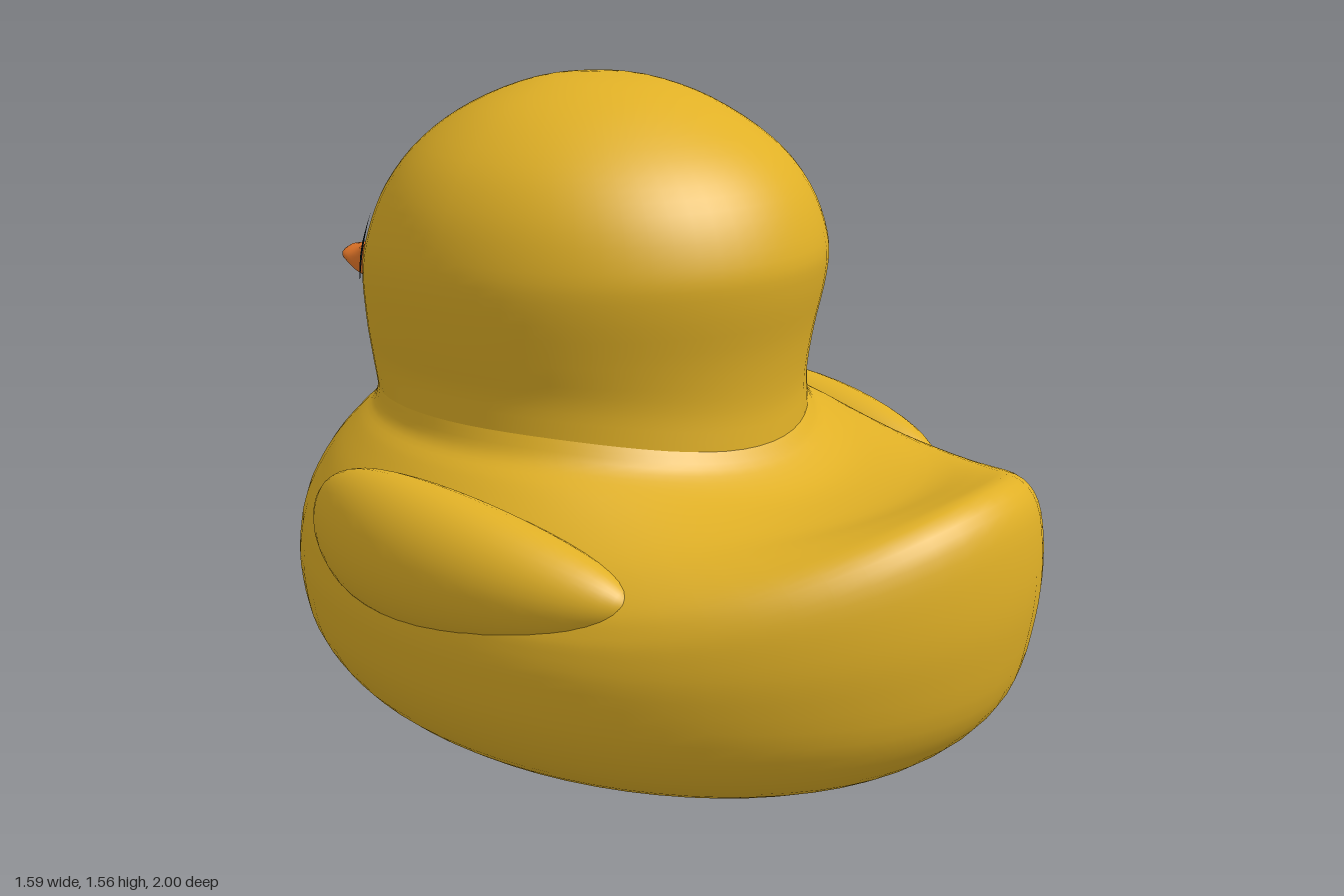
import * as THREE from 'three';

const yellow = new THREE.MeshStandardMaterial({ color: 0xe0b026 });
yellow.name = 'duck yellow';
const orange = new THREE.MeshStandardMaterial({ color: 0xe07428 });
orange.name = 'bill orange';
const dark = new THREE.MeshStandardMaterial({ color: 0x0c1e22 });
dark.name = 'eye dark';

// Closed-loop grid: fn(angle, v) gives a point, angle wraps, v runs 0..1
function loft(fn, nu, nv) {
  const pos = [], index = [];
  for (let j = 0; j <= nv; j++) {
    for (let i = 0; i < nu; i++) pos.push(...fn((i / nu) * Math.PI * 2, j / nv));
  }
  for (let j = 0; j < nv; j++) {
    for (let i = 0; i < nu; i++) {
      const a = j * nu + i, b = j * nu + ((i + 1) % nu);
      index.push(a, b, b + nu, a, b + nu, a + nu);
    }
  }
  const g = new THREE.BufferGeometry();
  g.setAttribute('position', new THREE.Float32BufferAttribute(pos, 3));
  g.setIndex(index);
  g.computeVertexNormals();
  return g;
}

const spline = (pts) =>
  new THREE.CatmullRomCurve3(pts.map((p) => new THREE.Vector3(p[0], p[1], p[2] || 0)), false, 'catmullrom', 0.5);

// Surface blended from three profiles: side [x, y, centre z], bill end [z, y], tail end [z, y]
function blended(side, billEnd, tailEnd, tailPower) {
  const S = spline(side), F = spline(billEnd), B = spline(tailEnd);
  return (a, v) => {
    const s = S.getPoint(v), c = Math.cos(a);
    const end = (c > 0 ? B : F).getPoint(v);
    const w = Math.pow(Math.abs(c), c > 0 ? tailPower : 2);
    return [s.x * Math.sin(a), s.y + (end.y - s.y) * w, s.z + Math.abs(c) * (end.x - s.z)];
  };
}

const bodySurface = blended(
  [[0, 0, 0], [0.38, 0, 0], [0.52, 0.04, 0.01], [0.66, 0.13, 0.02], [0.735, 0.25, 0.02], [0.76, 0.38, 0.02],
    [0.755, 0.46, 0.02], [0.745, 0.5, 0.01], [0.73, 0.54, 0], [0.69, 0.6, -0.03], [0.64, 0.66, -0.07],
    [0.57, 0.73, -0.11], [0.52, 0.77, -0.14], [0.5, 0.82, -0.165]],
  [[0, 0], [-0.45, 0], [-0.66, 0.04], [-0.81, 0.11], [-0.9, 0.21], [-0.93, 0.36], [-0.92, 0.47],
    [-0.9, 0.54], [-0.88, 0.58], [-0.85, 0.63], [-0.81, 0.68], [-0.76, 0.73], [-0.72, 0.77], [-0.705, 0.8]],
  [[0, 0], [0.45, 0], [0.67, 0.04], [0.83, 0.11], [0.945, 0.23], [0.99, 0.4], [1.0, 0.55],
    [0.98, 0.69], [0.92, 0.745], [0.83, 0.72], [0.7, 0.675], [0.53, 0.67], [0.42, 0.71], [0.375, 0.755]],
  3);

const headSurface = blended(
  [[0.5, 0.82, -0.165], [0.5, 0.9, -0.165], [0.515, 0.98, -0.165], [0.53, 1.1, -0.165], [0.525, 1.19, -0.165],
    [0.49, 1.3, -0.165], [0.42, 1.4, -0.165], [0.3, 1.49, -0.165], [0.15, 1.545, -0.165], [0, 1.56, -0.165]],
  [[-0.705, 0.8], [-0.73, 0.88], [-0.735, 0.97], [-0.73, 1.09], [-0.7, 1.19],
    [-0.645, 1.3], [-0.55, 1.41], [-0.43, 1.49], [-0.29, 1.545], [-0.165, 1.56]],
  [[0.375, 0.755], [0.37, 0.85], [0.385, 0.97], [0.415, 1.1], [0.418, 1.19],
    [0.37, 1.31], [0.275, 1.41], [0.12, 1.5], [-0.02, 1.545], [-0.165, 1.56]],
  3);

// Wing: an egg lying along z, bowed to hug the body and slimmer toward the tail
function wing(side) {
  return loft((b, v) => {
    const u = Math.cos(v * Math.PI), r = Math.sin(v * Math.PI);
    const cx = 0.665 - (u > 0 ? 0.05 : 0.08) * u * u;
    return [
      side * cx - 0.13 * r * Math.cos(b),
      0.56 + (0.165 - 0.04 * u) * r * Math.sin(b),
      -0.03 + 0.48 * u,
    ];
  }, 32, 24);
}

// Eye: a thin disc that follows the head surface
function eye(side) {
  return loft((p, r) => {
    const up = -r * Math.sin(p);
    const a = Math.PI - side * 0.71 + 0.185 * r * Math.cos(p) - -side * 0.05 * up;
    const [x, y, z] = headSurface(a, (3.62 + 0.92 * up) / 9);
    return [x * 1.012, y, -0.165 + (z + 0.165) * 1.012];
  }, 32, 5);
}

// Bill: domed top and shallow underside, narrowing to a rounded tip
function bill() {
  const width = spline([[0.2, 0], [0.202, 0], [0.195, 0], [0.17, 0], [0.13, 0], [0.08, 0], [0, 0]]);
  const top = spline([[-0.6, 1.2], [-0.69, 1.22], [-0.75, 1.19], [-0.81, 1.12], [-0.88, 1.075], [-0.955, 1.055], [-1, 1.045]]);
  const low = spline([[1.03, 1.01], [1.03, 1.005], [1.03, 1], [1.03, 1], [1.033, 1.005], [1.038, 1.018], [1.045, 1.045]]);
  return loft((b, v) => {
    const w = Math.max(0, width.getPoint(v).x), t = top.getPoint(v), l = low.getPoint(v);
    const s = Math.sin(b);
    return [-w * Math.cos(b), l.x + s * (s > 0 ? t.y - l.x : l.x - l.y), t.x];
  }, 40, 24);
}

export function createModel() {
  const duck = new THREE.Group();
  duck.name = 'bathDuck';
  const add = (name, geometry, material) => {
    const m = new THREE.Mesh(geometry, material);
    m.name = name;
    duck.add(m);
  };
  add('body', loft(bodySurface, 64, 52), yellow);
  add('head', loft(headSurface, 64, 36), yellow);
  add('bill', bill(), orange);
  for (const [label, side] of [['left', 1], ['right', -1]]) {
    add(label + 'Wing', wing(side), yellow);
    add(label + 'Eye', eye(side), dark);
  }
  return duck;
}
